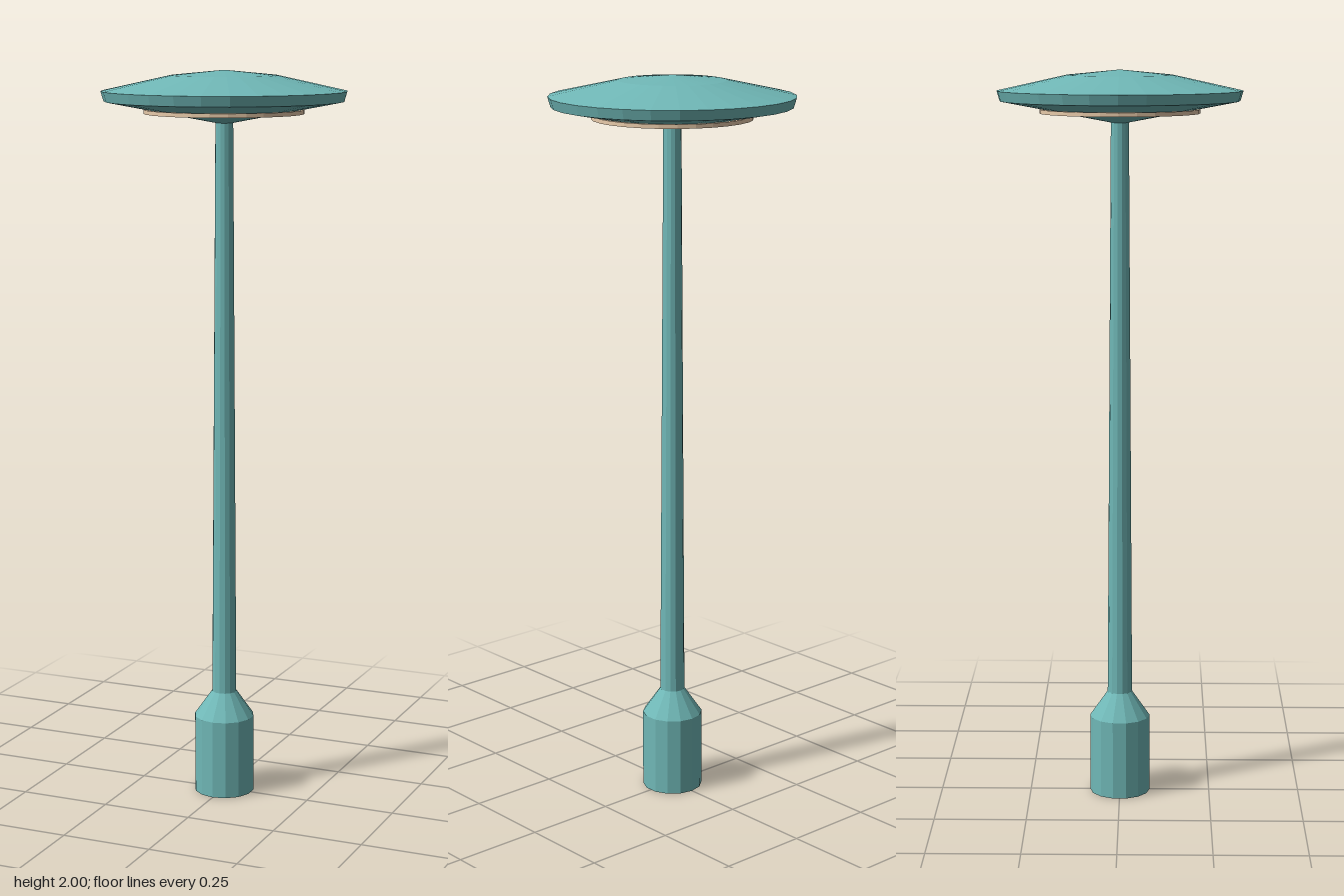
import * as THREE from 'three';

export function createModel() {
  const teal = new THREE.MeshStandardMaterial({ color: 0x70b8b7, flatShading: true });
  teal.name = 'teal paint';
  const cream = new THREE.MeshStandardMaterial({ color: 0xf0d2b0, flatShading: true });
  cream.name = 'warm light';

  const group = new THREE.Group();
  group.name = 'streetLamp';

  // Turns a profile of [radius, height] points, listed from bottom to top
  const turn = (name, profile, sides, material) => {
    const points = profile.map(([r, y]) => new THREE.Vector2(r, y));
    const mesh = new THREE.Mesh(new THREE.LatheGeometry(points, sides), material);
    mesh.name = name;
    group.add(mesh);
  };

  // Base sleeve with its sloping shoulder
  turn('base', [[0, 0], [0.083, 0], [0.083, 0.218], [0.034, 0.288], [0, 0.288]], 14, teal);

  // Slender tapering pole
  turn('pole', [[0.034, 0.285], [0.024, 1.88]], 14, teal);

  // Shallow saucer-shaped lamp head
  turn('lampHead', [
    [0, 1.859], [0.024, 1.861], [0.32, 1.918], [0.328, 1.945], [0.143, 1.986], [0, 2],
  ], 28, teal);

  // Glowing ring set into the underside
  turn('lightRing', [
    [0.13, 1.885], [0.214, 1.885], [0.214, 1.896], [0.13, 1.896], [0.13, 1.885],
  ], 28, cream);

  return group;
}
